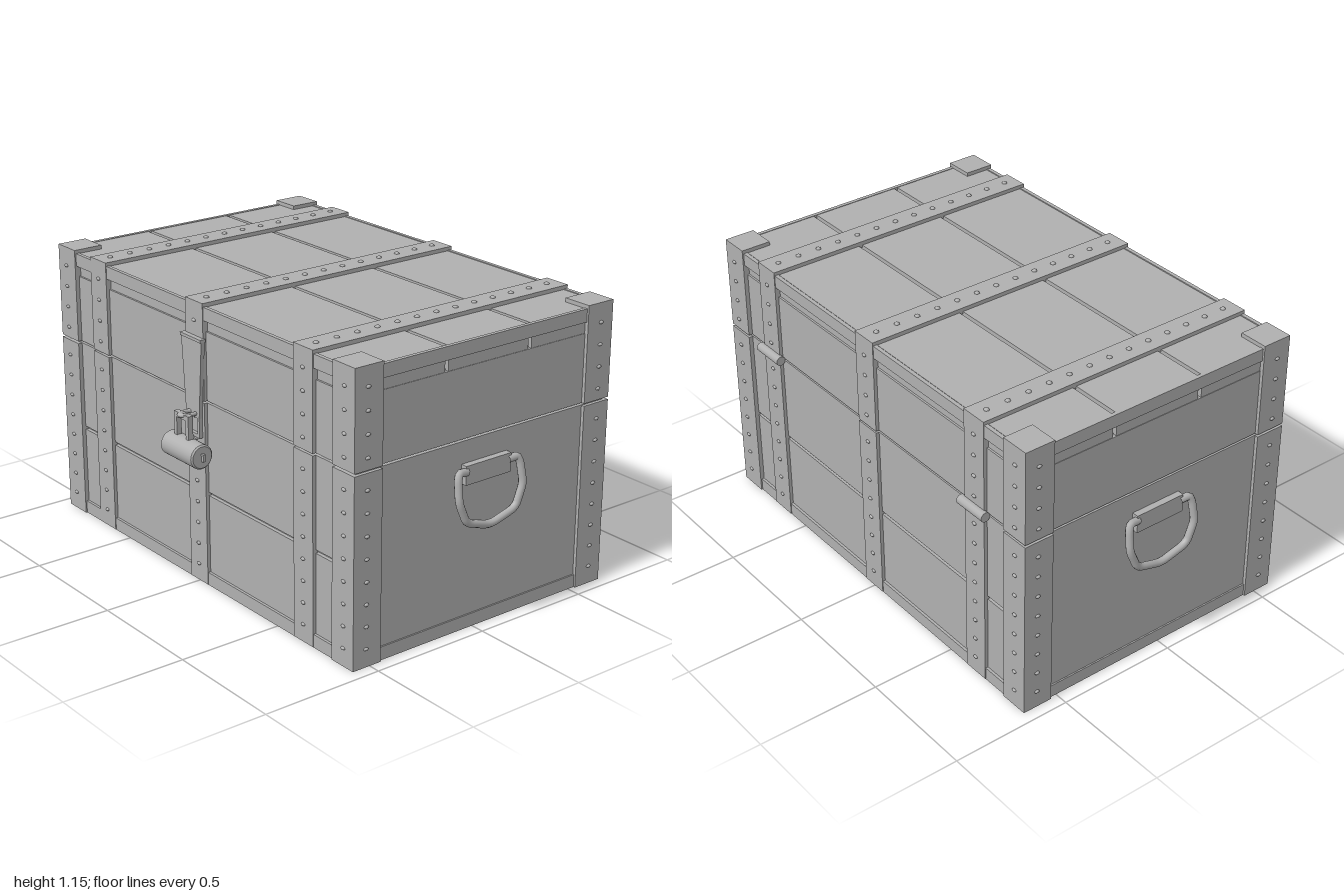
import * as THREE from 'three';

const ZC = -0.04; // middle of the chest in z
const SPLIT = [0.753, 0.761]; // gap between body and lid

export function createModel() {
  const root = new THREE.Group();
  root.name = 'chest';
  const grey = new THREE.MeshStandardMaterial({ color: 0xb0b0b0 });
  grey.name = 'plain grey';

  const add = (name, geo, x = 0, y = 0, z = 0, parent = root) => {
    const m = new THREE.Mesh(geo, grey);
    m.name = name;
    m.position.set(x, y, z);
    parent.add(m);
    return m;
  };
  // box given by its limits
  const box = (name, x0, x1, y0, y1, z0, z1, parent = root) =>
    add(name, new THREE.BoxGeometry(x1 - x0, y1 - y0, z1 - z0),
      (x0 + x1) / 2, (y0 + y1) / 2, (z0 + z1) / 2, parent);
  // the same, centred on x and on the chest's middle in z
  const slab = (name, hx, y0, y1, hz) => box(name, -hx, hx, y0, y1, ZC - hz, ZC + hz);

  // body and lid: inner cores with separate planks on the front and back
  slab('bodyCore', 0.937, 0.012, SPLIT[0], 0.585);
  slab('lidCore', 0.937, SPLIT[1], 1.035, 0.585);
  for (const s of [-1, 1]) {
    for (const [y0, y1] of [[0.012, 0.374], [0.388, SPLIT[0]], [SPLIT[1], 1.035]]) {
      const a = ZC + s * 0.58, b = ZC + s * 0.6;
      box('wallPlank', -0.937, 0.937, y0, y1, Math.min(a, b), Math.max(a, b));
    }
  }

  // top planks, with open gaps between them
  for (const [z0, z1] of [[-0.632, -0.258], [-0.242, 0.142], [0.158, 0.552]])
    box('topPlank', -0.935, 0.935, 1.035, 1.13, z0, z1);
  slab('topPlankBed', 0.92, 1.03, 1.04, 0.58);

  // rails around the top and bottom edges
  for (const [name, y0, y1] of [['topRail', 1.08, 1.132], ['bottomRail', 0, 0.053]]) {
    const w = name === 'topRail' ? 0.016 : 0.07;
    for (const s of [-1, 1]) {
      const zo = ZC + s * 0.611, zi = ZC + s * (0.611 - w);
      box(name, -0.942, 0.942, y0, y1, Math.min(zo, zi), Math.max(zo, zi));
      const xo = s * 0.943, xi = s * (0.943 - w);
      box(name, Math.min(xo, xi), Math.max(xo, xi), y0, y1, ZC - 0.605, ZC + 0.605);
    }
  }

  // rivets: flattened domes that point along the given direction
  const dome = new THREE.SphereGeometry(1, 8, 3, 0, Math.PI * 2, 0, Math.PI / 2);
  dome.scale(0.011, 0.008, 0.011);
  const up = new THREE.Vector3(0, 1, 0);
  const rivet = (x, y, z, dx, dy, dz) => {
    const m = add('rivet', dome, x, y, z);
    m.quaternion.setFromUnitVectors(up, new THREE.Vector3(dx, dy, dz));
    if (dy === 0) m.scale.set(1, 1, 0.65);
    if (dx) m.scale.set(0.65, 1, 1);
  };
  const rivetYs = [];
  for (let i = 0; i < 8; i++) rivetYs.push(0.073 + i * 0.0877);
  for (let i = 0; i < 4; i++) rivetYs.push(0.807 + i * 0.0873);

  // corner posts, cut at the lid
  for (const sx of [-1, 1]) for (const sz of [-1, 1]) {
    const x = sx * 0.89, z = ZC + sz * 0.5535;
    for (const [y0, y1] of [[0, SPLIT[0] - 0.002], [SPLIT[1], 1.146]])
      box('cornerPost', x - 0.061, x + 0.061, y0, y1, z - 0.0635, z + 0.0635);
    for (const y of rivetYs) {
      rivet(sx * 0.895, y, ZC + sz * 0.617, 0, 0, sz);
      rivet(sx * 0.951, y, ZC + sz * 0.558, sx, 0, 0);
    }
  }

  // straps over the front, top and back
  for (const x of [-0.66, 0, 0.66]) {
    for (const s of [-1, 1]) {
      const zi = ZC + s * 0.59, zo = ZC + s * 0.614;
      for (const [y0, y1] of [[0.002, SPLIT[0]], [SPLIT[1], 1.146]])
        box('strap', x - 0.056, x + 0.056, y0, y1, Math.min(zi, zo), Math.max(zi, zo));
      for (const y of rivetYs) rivet(x, y, ZC + s * 0.614, 0, 0, s);
    }
    box('topStrap', x - 0.056, x + 0.056, 1.12, 1.146, ZC - 0.613, ZC + 0.613);
    for (let i = 0; i < 13; i++) rivet(x, 1.146, -0.597 + i * 0.0927, 0, 1, 0);
  }

  // hinge barrels at the back
  for (const x of [-0.66, 0.66]) {
    const barrel = new THREE.CylinderGeometry(0.02, 0.02, 0.145, 12).rotateZ(Math.PI / 2);
    add('hinge', barrel, x, 0.757, -0.66);
  }

  // side handles
  for (const s of [-1, 1]) {
    const handle = new THREE.Group();
    handle.name = 'handle';
    root.add(handle);
    const px = s * 0.95;
    box('handlePlate', px - 0.014, px + 0.014, 0.59, 0.665, ZC - 0.11, ZC + 0.11, handle);
    const half = [[0.1, 0.64, 0.957], [0.142, 0.645, 0.962], [0.152, 0.62, 0.968],
      [0.157, 0.54, 0.982], [0.12, 0.452, 0.984], [0, 0.414, 0.978]];
    const pts = half.map(([z, y, x]) => new THREE.Vector3(s * x, y, ZC + z));
    for (let i = half.length - 2; i >= 0; i--)
      pts.push(new THREE.Vector3(s * half[i][2], half[i][1], ZC - half[i][0]));
    // straight runs with short rounded bends
    const path = new THREE.CurvePath();
    let from = pts[0];
    for (let i = 1; i < pts.length - 1; i++) {
      const a = pts[i].clone().lerp(pts[i - 1], 0.25), b = pts[i].clone().lerp(pts[i + 1], 0.25);
      path.add(new THREE.LineCurve3(from, a));
      path.add(new THREE.QuadraticBezierCurve3(a, pts[i], b));
      from = b;
    }
    path.add(new THREE.LineCurve3(from, pts[pts.length - 1]));
    add('handleRing', new THREE.TubeGeometry(path, 80, 0.0155, 10), 0, 0, 0, handle);
  }

  // hasp: tapered plate with a slot for the staple
  const hasp = new THREE.Shape([[-0.066, 1.01], [-0.042, 0.69], [-0.042, 0.61], [0.042, 0.61],
    [0.042, 0.69], [0.066, 1.01]].map(p => new THREE.Vector2(...p)));
  hasp.holes.push(new THREE.Path([[-0.028, 0.625], [0.028, 0.625], [0.028, 0.69], [-0.028, 0.69]]
    .map(p => new THREE.Vector2(...p))));
  add('hasp', new THREE.ExtrudeGeometry(hasp, { depth: 0.016, bevelEnabled: false }), 0, 0, 0.573);
  box('haspLip', -0.066, 0.066, 0.998, 1.01, 0.57, 0.594);

  // staple reaching forward through the hasp
  const staple = new THREE.TorusGeometry(0.022, 0.008, 8, 16).rotateX(Math.PI / 2);
  staple.scale(1, 1, 1.7);
  add('staple', staple, 0, 0.707, 0.607);

  // padlock: barrel lying along x, with a squared shackle
  const lock = new THREE.Group();
  lock.name = 'padlock';
  lock.position.set(0.015, 0.57, 0.632);
  root.add(lock);
  const profile = [[0, -0.105], [0.043, -0.105], [0.049, -0.099], [0.049, 0.099], [0.043, 0.105], [0, 0.105]]
    .map(p => new THREE.Vector2(...p));
  // separate ring bands keep the end edges crisp
  for (let i = 0; i < profile.length - 1; i++)
    add('lockBarrel', new THREE.LatheGeometry([profile[i], profile[i + 1]], 24).rotateZ(-Math.PI / 2), 0, 0, 0, lock);
  box('keySlot', 0.1, 0.118, -0.015, 0.015, -0.005, 0.005, lock);
  for (const s of [-1, 1])
    box('shackleLeg', s * 0.038 - 0.024, s * 0.038 - 0.006, 0.03, 0.14, -0.011, 0.011, lock);
  box('shackleTop', -0.062, 0.032, 0.122, 0.142, -0.011, 0.011, lock);

  return root;
}
